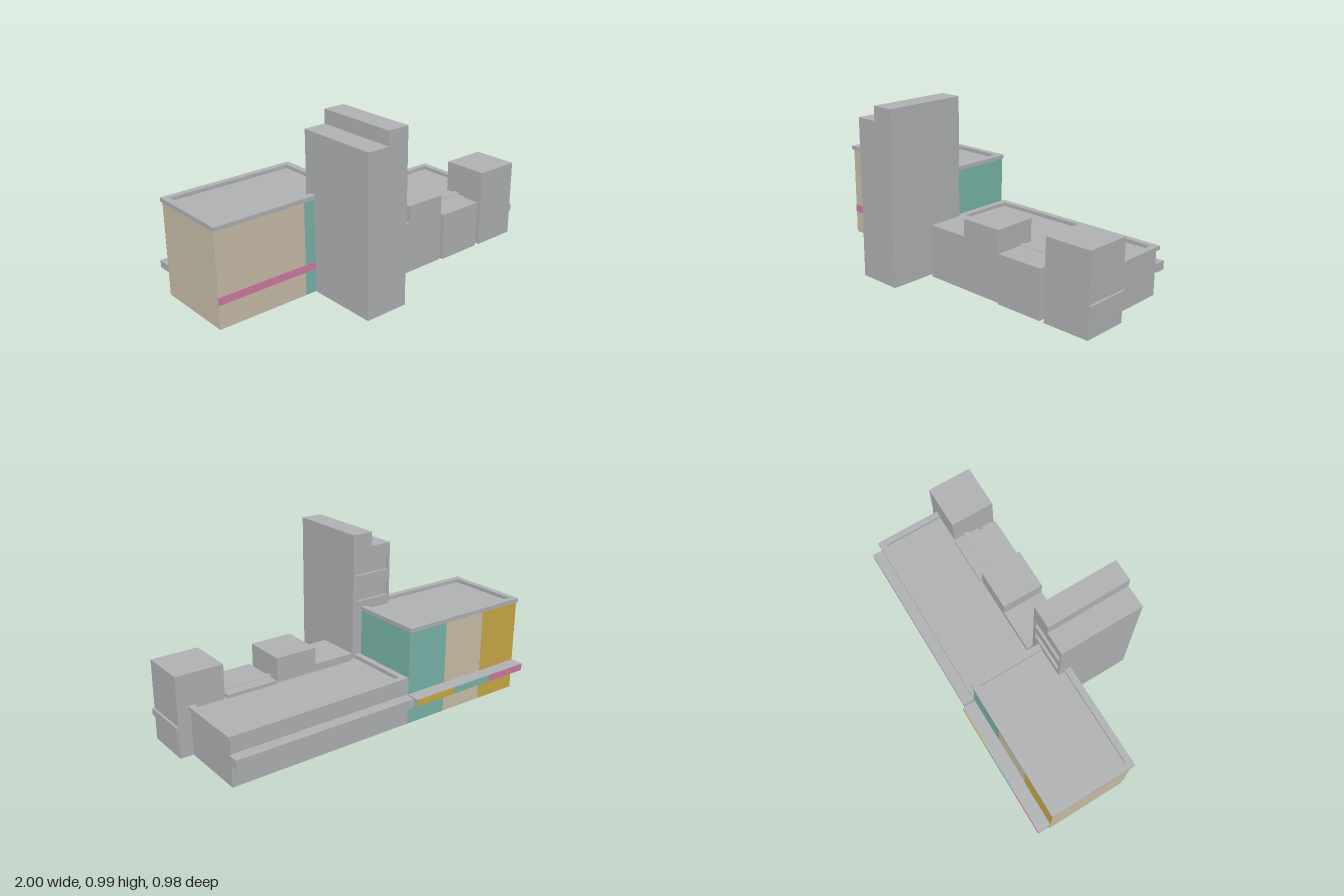
import * as THREE from 'three';

const material = (name, color) => {
  const m = new THREE.MeshStandardMaterial({ color });
  m.name = name;
  return m;
};

export function createModel() {
  const model = new THREE.Group();
  model.name = 'buildingComplex';
  const grey = material('concreteGrey', 0xb0b1b3);
  const teal = material('teal', 0x78b4a8);
  const cream = material('cream', 0xc9bea8);
  const ochre = material('ochre', 0xc8a946);
  const pink = material('pink', 0xce7ba2);

  const add = (name, geometry, mat) => {
    const mesh = new THREE.Mesh(geometry, mat);
    mesh.name = name;
    model.add(mesh);
    return mesh;
  };
  // Box given by its limits on each axis
  const box = (name, mat, x0, x1, y0, y1, z0, z1) => add(name,
    new THREE.BoxGeometry(x1 - x0, y1 - y0, z1 - z0)
      .translate((x0 + x1) / 2, (y0 + y1) / 2, (z0 + z1) / 2), mat);
  const polygon = (points) => points.map(([x, y]) => new THREE.Vector2(x, y));
  const rect = (x0, x1, y0, y1) => polygon([[x0, y0], [x1, y0], [x1, y1], [x0, y1]]);

  // Raised roof edge: a flat ring around a sunken roof
  const parapet = (name, x0, x1, y0, y1) => {
    const z0 = -0.42, z1 = 0.08, rim = 0.037;
    const shape = new THREE.Shape(rect(x0, x1, -z1, -z0));
    shape.holes.push(new THREE.Path(rect(x0 + rim, x1 - rim, -z1 + rim, -z0 - rim)));
    const g = new THREE.ExtrudeGeometry(shape, { depth: y1 - y0, bevelEnabled: false });
    add(name, g.rotateX(-Math.PI / 2).translate(0, y0, 0), grey);
  };

  // Tall coloured hall
  box('hallCreamWalls', cream, -0.99, -0.45, 0.01, 0.548, -0.41, 0.07);
  box('hallTealWalls', teal, -0.45, -0.188, 0.01, 0.548, -0.41, 0.07);
  box('hallOchrePanel', ochre, -0.99, -0.725, 0.011, 0.547, -0.413, -0.41);
  box('hallFrontStripe', pink, -0.99, -0.38, 0.145, 0.188, 0.07, 0.073);
  box('hallRoof', grey, -0.98, -0.195, 0.545, 0.55, -0.4, 0.06);
  parapet('hallParapet', -0.998, -0.185, 0.547, 0.57);

  // Long low hall
  box('lowHallWalls', grey, -0.188, 0.91, 0.01, 0.269, -0.41, 0.07);
  parapet('lowHallParapet', -0.178, 0.925, 0.268, 0.29);

  // Ledges along the back, the left one faced with coloured plates
  box('lowHallLedge', grey, -0.172, 0.92, 0.14, 0.19, -0.475, -0.41);
  box('hallLedge', grey, -0.993, -0.185, 0.145, 0.187, -0.489, -0.41);
  [[-0.45, -0.185, ochre], [-0.72, -0.45, teal], [-0.99, -0.72, pink]].forEach(([x0, x1, mat]) =>
    box('ledgePanel', mat, x0, x1, 0.147, 0.185, -0.492, -0.489));

  // Stepped tower with two window recesses in its back wall
  const outline = polygon([[-0.385, 0.011], [-0.128, 0.011], [-0.128, 0.99],
    [-0.255, 0.99], [-0.255, 0.91], [-0.385, 0.91]]);
  const slab = (name, z0, z1, holes) => {
    const shape = new THREE.Shape(outline);
    shape.holes = holes;
    add(name, new THREE.ExtrudeGeometry(shape, { depth: z1 - z0, bevelEnabled: false })
      .translate(0, 0, z0), grey);
  };
  slab('towerBody', 0.02, 0.49, []);
  slab('towerBackWall', 0.005, 0.02, [[0.755, 0.83], [0.605, 0.685]].map(([y0, y1]) =>
    new THREE.Path(rect(-0.372, -0.147, y0, y1))));
  box('towerFooting', grey, -0.385, -0.31, 0, 0.011, -0.025, 0.01);

  // Row of front blocks
  box('frontBlockLow', grey, -0.105, 0.145, 0.01, 0.312, -0.015, 0.238);
  box('frontBlockMiddle', grey, 0.145, 0.392, 0.01, 0.41, -0.015, 0.238);
  box('frontBlockSmall', grey, 0.405, 0.685, 0.01, 0.288, -0.025, 0.25);
  box('smallBlockSide', grey, 0.685, 0.70, 0.01, 0.287, -0.025, 0.14);
  box('smallBlockFin', grey, 0.685, 0.70, 0.165, 0.28, 0.155, 0.225);
  box('frontBlockTall', grey, 0.715, 0.985, 0.01, 0.464, -0.018, 0.252);

  // Side canopy and door of the end block
  box('sideCanopy', grey, 0.985, 0.998, 0.152, 0.19, -0.018, 0.252);
  box('sideDoor', grey, 0.985, 0.989, 0.015, 0.152, 0, 0.055);

  return model;
}
